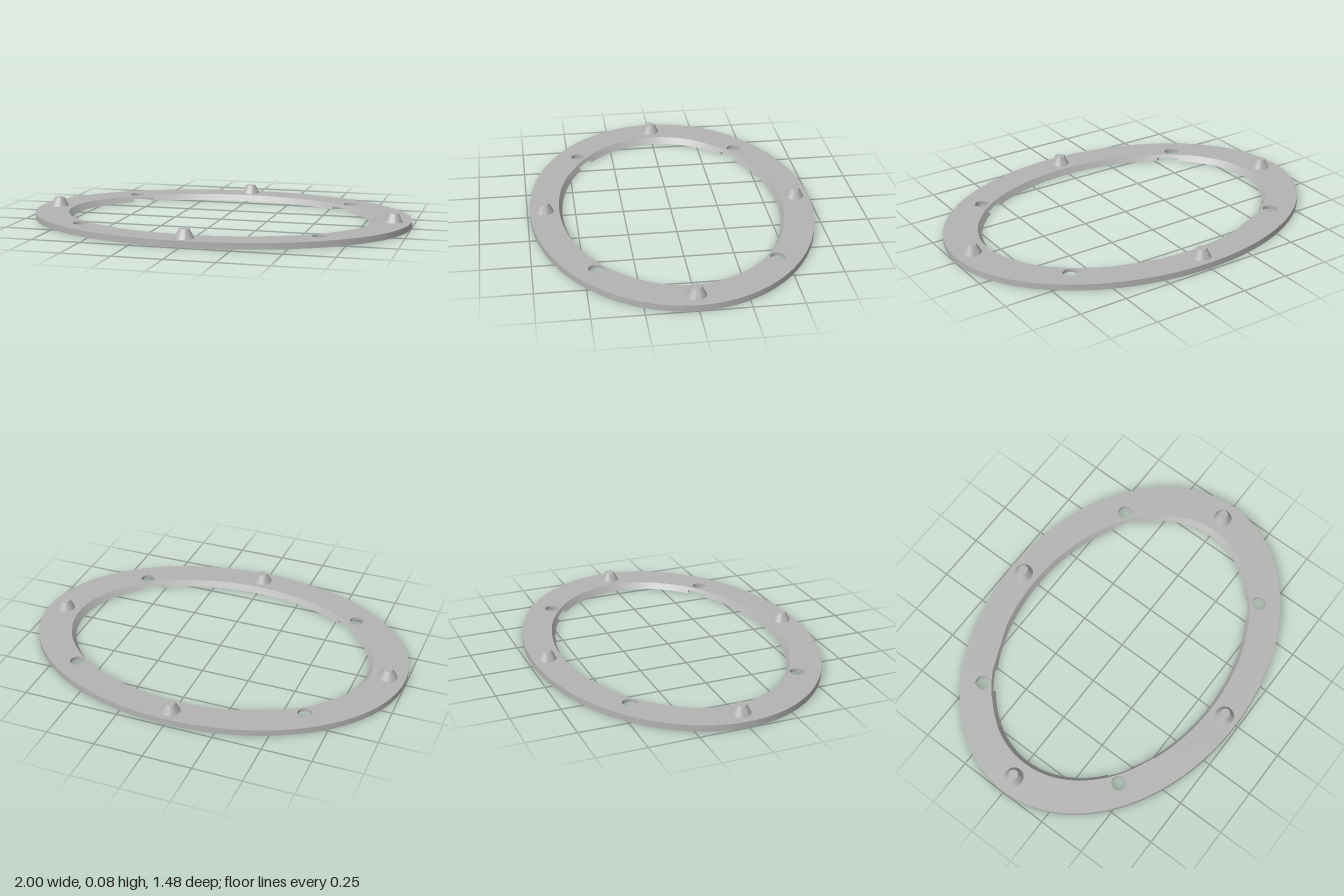
import * as THREE from 'three';
import { toCreasedNormals } from 'three/addons/utils/BufferGeometryUtils.js';

const H = 0.032, SLOT = 0.015;           // ring thickness, nut slot depth
const OUT = [1, 0.738], IN = [0.797, 0.568]; // ellipse half axes (inner at the bottom)
const HOLE = [0.615, 0.445];             // bolt hole position
const TAU = Math.PI * 2;

const onEllipse = ([a, b], t) => new THREE.Vector2(a * Math.cos(t), b * Math.sin(t));

function ellipsePoints(axes, n) {
  return Array.from({ length: n }, (_, i) => onEllipse(axes, (i / n) * TAU));
}

// Inner contour with four half-hexagon nut slots opening into it
function slottedContour() {
  const r = 0.064, h = 0.055, slots = [];
  for (const [sx, sy] of [[1, 1], [-1, 1], [-1, -1], [1, -1]]) {
    const c = new THREE.Vector2(sx * HOLE[0], sy * HOLE[1]);
    const d = c.clone().normalize();
    const at = (u, v) => new THREE.Vector2(c.x + d.x * u - d.y * v, c.y + d.y * u + d.x * v);
    // angle at which a slot wall meets the inner ellipse
    const meet = (v) => {
      let lo = 0, hi = 0.15;
      for (let i = 0; i < 40; i++) {
        const m = (lo + hi) / 2, p = at(-m, v);
        if ((p.x / IN[0]) ** 2 + (p.y / IN[1]) ** 2 > 1) lo = m; else hi = m;
      }
      const p = at(-lo, v);
      return (Math.atan2(p.y / IN[1], p.x / IN[0]) + TAU) % TAU;
    };
    slots.push({ start: meet(-h), end: meet(h), pts: [at(r / 2, -h), at(r, 0), at(r / 2, h)] });
  }
  const pts = [];
  slots.forEach((s, i) => {
    let next = slots[(i + 1) % 4].start;
    if (next < s.end) next += TAU;
    pts.push(...s.pts);
    for (let k = 0; k <= 30; k++) pts.push(onEllipse(IN, s.end + ((next - s.end) * k) / 30));
  });
  return pts;
}

// Extrudes one layer upward from y0 to y1 and flares the inner wall with height
function layer(holes, y0, y1) {
  const shape = new THREE.Shape(ellipsePoints(OUT, 128));
  shape.holes = holes.map((p) => new THREE.Path(p));
  const g = new THREE.ExtrudeGeometry(shape, { depth: y1 - y0, bevelEnabled: false });
  g.rotateX(-Math.PI / 2).translate(0, y0, 0);
  const p = g.attributes.position;
  for (let i = 0; i < p.count; i++) {
    const x = p.getX(i), z = p.getZ(i);
    if ((x / IN[0]) ** 2 + (z / IN[1]) ** 2 < 1.002) {
      const k = 1 + (0.03 * p.getY(i)) / H;
      p.setX(i, x * k);
      p.setZ(i, z * k);
    }
  }
  return toCreasedNormals(g, 0.5);
}

export function createModel() {
  const model = new THREE.Group();
  model.name = 'mountingRing';
  const grey = new THREE.MeshStandardMaterial({ color: 0xb3b3b3 });
  grey.name = 'grey';
  const add = (name, geometry) => {
    const mesh = new THREE.Mesh(geometry, grey);
    mesh.name = name;
    model.add(mesh);
    return mesh;
  };

  // Lower layer with nut slots, upper layer with round bolt holes
  add('slottedLowerRing', layer([slottedContour()], 0, SLOT));
  const bolts = [[1, 1], [-1, 1], [-1, -1], [1, -1]].map(([sx, sy]) =>
    ellipsePoints([0.037, 0.037], 32).map((p) => p.add(new THREE.Vector2(sx * HOLE[0], sy * HOLE[1]))));
  add('drilledUpperRing', layer([ellipsePoints(IN, 128), ...bolts], SLOT, H));

  // Tapered locating pegs on the four axes
  const pegHeight = 0.046;
  const peg = toCreasedNormals(new THREE.CylinderGeometry(0.025, 0.049, pegHeight, 32), 0.5);
  for (const [x, z] of [[0.908, 0], [-0.908, 0], [0, 0.663], [0, -0.663]]) {
    add('locatingPeg', peg).position.set(x, H + pegHeight / 2, z);
  }
  return model;
}
